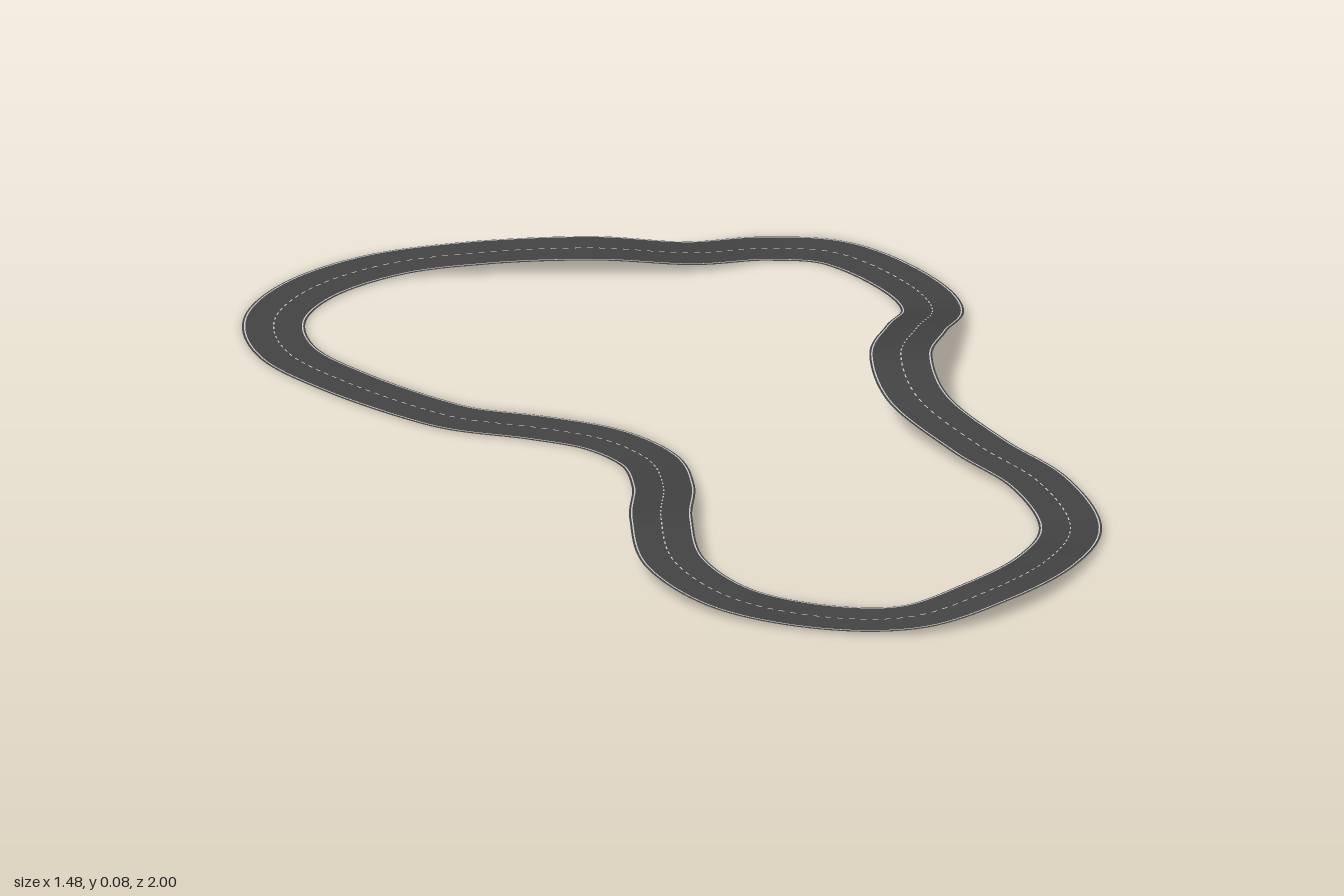
import * as THREE from 'three';

// Centre line of the circuit, clockwise from above: x, height, z
const PATH = [
  [-0.08, 0.003, -0.945], [0.09, 0.006, -0.915], [0.215, 0.022, -0.8], [0.35, 0.034, -0.635],
  [0.48, 0.015, -0.52], [0.6, 0.004, -0.455], [0.67, 0.002, -0.365], [0.68, 0.001, -0.28],
  [0.645, 0.002, -0.13], [0.57, 0.014, -0.02], [0.41, 0.054, 0.08], [0.26, 0.075, 0.175],
  [0.165, 0.055, 0.3], [0.125, 0.025, 0.48], [0.09, 0.014, 0.65], [-0.015, 0.006, 0.82],
  [-0.18, 0.017, 0.91], [-0.375, 0.026, 0.94], [-0.53, 0.012, 0.895], [-0.62, 0.005, 0.775],
  [-0.685, 0.014, 0.6], [-0.66, 0.031, 0.44], [-0.53, 0.037, 0.29], [-0.375, 0.017, 0.16],
  [-0.275, 0.003, 0.035], [-0.255, 0.001, -0.09], [-0.29, 0.001, -0.21], [-0.35, 0.002, -0.34],
  [-0.362, 0.002, -0.42], [-0.36, 0.002, -0.605], [-0.325, 0.002, -0.78], [-0.225, 0.002, -0.9],
];
const STEPS = 480;
const HALF_WIDTH = 0.057;

export function createModel() {
  const group = new THREE.Group();
  const curve = new THREE.CatmullRomCurve3(PATH.map((p) => new THREE.Vector3(...p)), true, 'centripetal');
  curve.arcLengthDivisions = 1000;

  // Evenly spaced points with a level sideways direction pointing outwards
  const stations = [];
  for (let i = 0; i < STEPS; i++) {
    const point = curve.getPointAt(i / STEPS);
    const t = curve.getTangentAt(i / STEPS);
    const side = new THREE.Vector3(t.z, 0, -t.x).normalize();
    stations.push({ point, side });
  }

  // Ribbon following the path between two sideways offsets; dashed keeps every other step
  function addRibbon(name, outer, inner, lift, material, dashed = false) {
    const positions = [];
    const indices = [];
    for (const { point, side } of stations) {
      for (const offset of [outer, inner]) {
        positions.push(point.x + side.x * offset, Math.max(0, point.y) + lift, point.z + side.z * offset);
      }
    }
    for (let i = 0; i < STEPS; i++) {
      if (dashed && i % 2) continue;
      const a = i * 2;
      const b = ((i + 1) % STEPS) * 2;
      indices.push(a + 1, b + 1, a, a, b + 1, b);
    }
    const geometry = new THREE.BufferGeometry();
    geometry.setAttribute('position', new THREE.Float32BufferAttribute(positions, 3));
    geometry.setIndex(indices);
    geometry.computeVertexNormals();
    const mesh = new THREE.Mesh(geometry, material);
    mesh.name = name;
    group.add(mesh);
  }

  const asphalt = new THREE.MeshStandardMaterial({ color: 0x444444, side: THREE.DoubleSide });
  const paint = new THREE.MeshStandardMaterial({ color: 0xffffff });

  // Road surface
  addRibbon('roadSurface', HALF_WIDTH, -HALF_WIDTH, 0, asphalt);
  // Painted markings just above the road
  addRibbon('outerEdgeLine', 0.0535, 0.051, 0.0008, paint);
  addRibbon('innerEdgeLine', -0.051, -0.0535, 0.0008, paint);
  addRibbon('centreDashes', 0.0012, -0.0012, 0.0008, paint, true);

  group.name = 'raceTrack';
  return group;
}
